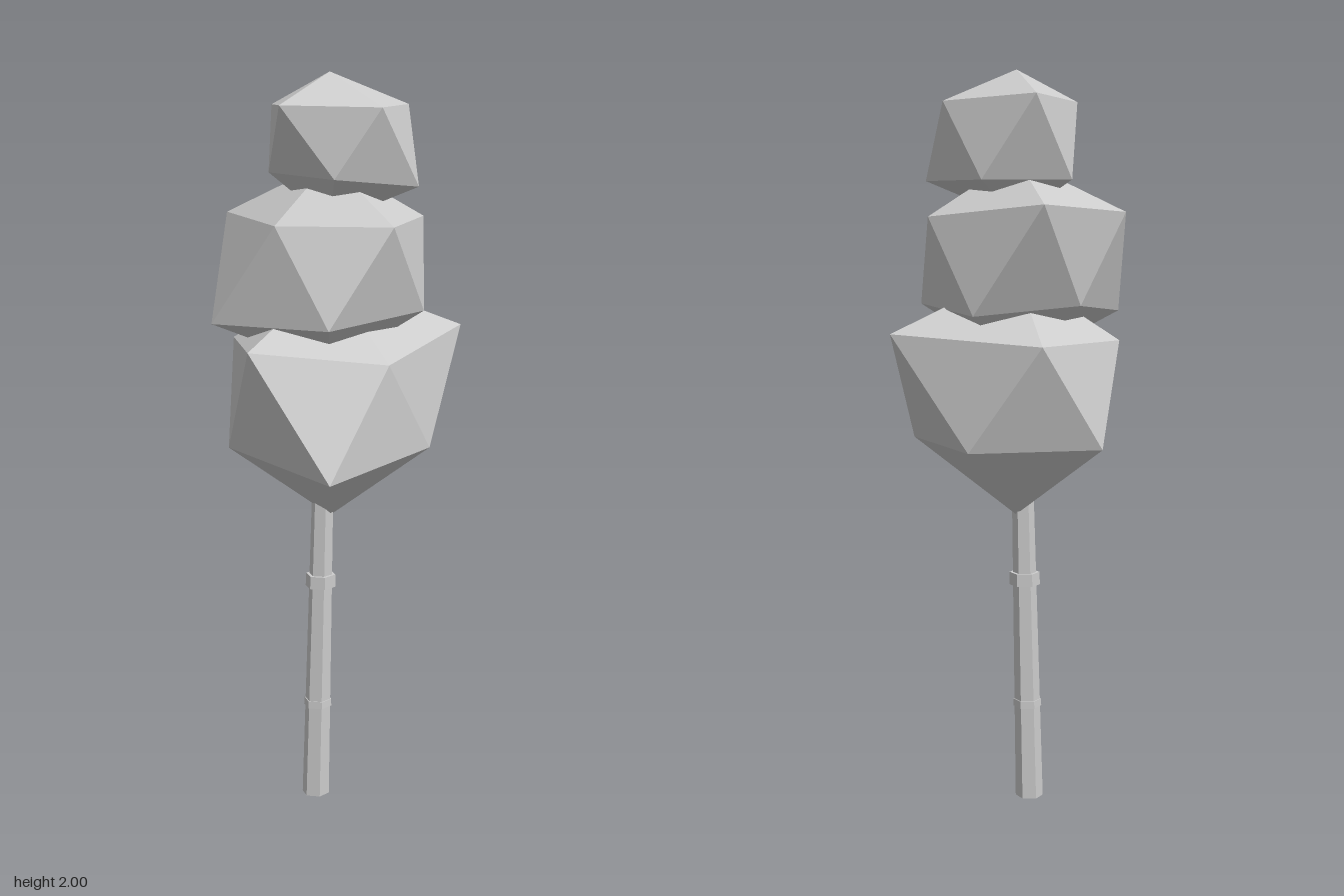
import * as THREE from 'three';

const grey = new THREE.MeshStandardMaterial({ color: 0xcccccc, flatShading: true });
grey.name = 'pale grey';

// Twenty-sided faceted clump: two staggered rings of five points between a top and a bottom tip.
// Rings run back, right, front, left; lower point k sits between upper points k and k + 1.
function clump(name, top, bottom, upper, lower) {
  const peak = [-0.026, top, -0.017], base = [-0.026, bottom, -0.017];
  const tris = [];
  for (let k = 0; k < 5; k++) {
    const n = (k + 1) % 5;
    tris.push(peak, upper[n], upper[k]);
    tris.push(upper[k], upper[n], lower[k]);
    tris.push(upper[n], lower[n], lower[k]);
    tris.push(lower[k], lower[n], base);
  }
  const geo = new THREE.BufferGeometry();
  geo.setAttribute('position', new THREE.Float32BufferAttribute(tris.flat(), 3));
  geo.computeVertexNormals();
  const mesh = new THREE.Mesh(geo, grey);
  mesh.name = name;
  return mesh;
}

// Hexagonal trunk piece between two heights, following the trunk's lean
function trunkPiece(name, y0, y1, r0, r1) {
  const geo = new THREE.CylinderGeometry(r1, r0, y1 - y0, 6);
  geo.translate(0, (y0 + y1) / 2, 0);
  const p = geo.attributes.position;
  for (let i = 0; i < p.count; i++) {
    p.setX(i, p.getX(i) - 0.072 + p.getY(i) * 0.026);
    p.setZ(i, p.getZ(i) - 0.013);
  }
  geo.computeVertexNormals();
  const mesh = new THREE.Mesh(geo, grey);
  mesh.name = name;
  return mesh;
}

export function createModel() {
  const tree = new THREE.Group();
  tree.name = 'tree';

  // Trunk with two joints
  tree.add(
    trunkPiece('trunk', 0, 0.95, 0.038, 0.029),
    trunkPiece('lowerJoint', 0.262, 0.282, 0.039, 0.038),
    trunkPiece('upperJoint', 0.61, 0.645, 0.042, 0.041),
  );

  // Foliage, largest clump at the bottom
  tree.add(
    clump('lowerFoliage', 1.47, 0.81,
      [[0.08, 1.3, -0.335], [0.35, 1.32, -0.017], [0.055, 1.265, 0.23], [-0.31, 1.31, 0.188], [-0.25, 1.29, -0.18]],
      [[0.215, 1.02, -0.19], [0.2, 1.02, 0.147], [-0.14, 0.985, 0.337], [-0.31, 1.02, -0.017], [-0.12, 1.02, -0.305]]),
    clump('middleFoliage', 1.77, 1.22,
      [[0.078, 1.655, -0.338], [0.238, 1.62, -0.017], [0.06, 1.62, 0.247], [-0.218, 1.62, 0.122], [-0.262, 1.63, -0.188]],
      [[0.192, 1.37, -0.175], [0.19, 1.385, 0.12], [-0.117, 1.365, 0.258], [-0.352, 1.355, -0.017], [-0.1, 1.39, -0.225]]),
    clump('upperFoliage', 2.0, 1.61,
      [[0.05, 1.93, -0.25], [0.193, 1.915, -0.017], [0.045, 1.915, 0.197], [-0.2, 1.92, 0.11], [-0.157, 1.915, -0.11]],
      [[0.15, 1.715, -0.145], [0.17, 1.71, 0.127], [-0.07, 1.735, 0.158], [-0.193, 1.745, -0.017], [-0.087, 1.715, -0.2]]),
  );
  return tree;
}
